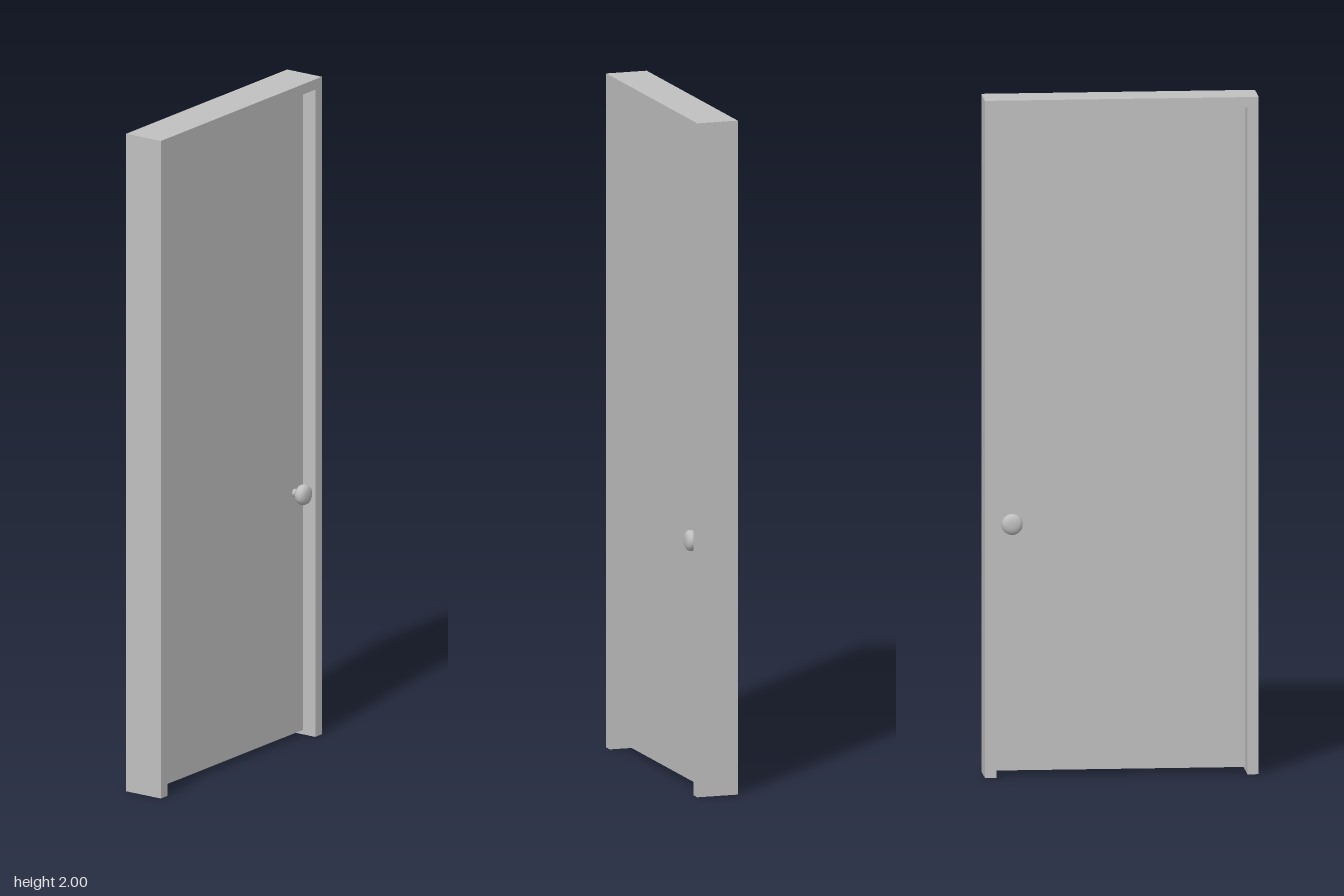
import * as THREE from 'three';

export function createModel() {
  const group = new THREE.Group();
  const grey = new THREE.MeshStandardMaterial({ color: 0xc0c0c0 });
  grey.name = 'plain grey';

  const add = (name, geometry, x, y, z) => {
    const mesh = new THREE.Mesh(geometry, grey);
    mesh.name = name;
    mesh.position.set(x, y, z);
    group.add(mesh);
    return mesh;
  };

  // Door frame: two jambs and a lintel, open at the floor
  const W = 0.4, H = 2, inner = 0.367, top = 1.969, depth = 0.125;
  const outline = new THREE.Shape([
    [-W, 0], [-inner, 0], [-inner, top], [inner, top],
    [inner, 0], [W, 0], [W, H], [-W, H],
  ].map(([x, y]) => new THREE.Vector2(x, y)));
  const frame = new THREE.ExtrudeGeometry(outline, { depth, bevelEnabled: false });
  add('doorFrame', frame, 0, 0, -depth / 2);

  // Door leaf, recessed on both sides and lifted off the floor
  const bottom = 0.015, leafTop = 1.965;
  add('doorLeaf', new THREE.BoxGeometry(0.726, leafTop - bottom, 0.042),
    0, (leafTop + bottom) / 2, 0);

  // Round knobs with a short stem, one on each face
  const profile = [
    [0.012, 0.015], [0.012, 0.034], [0.022, 0.038], [0.028, 0.044], [0.031, 0.052],
    [0.0305, 0.06], [0.027, 0.066], [0.019, 0.0705], [0.01, 0.0722], [0, 0.0725],
  ].map(([r, y]) => new THREE.Vector2(r, y));
  const knob = new THREE.LatheGeometry(profile, 28);
  for (const side of [1, -1]) {
    const mesh = add(side > 0 ? 'frontKnob' : 'backKnob', knob, 0.32, 0.747, 0);
    mesh.rotation.x = side * Math.PI / 2;
  }

  return group;
}
